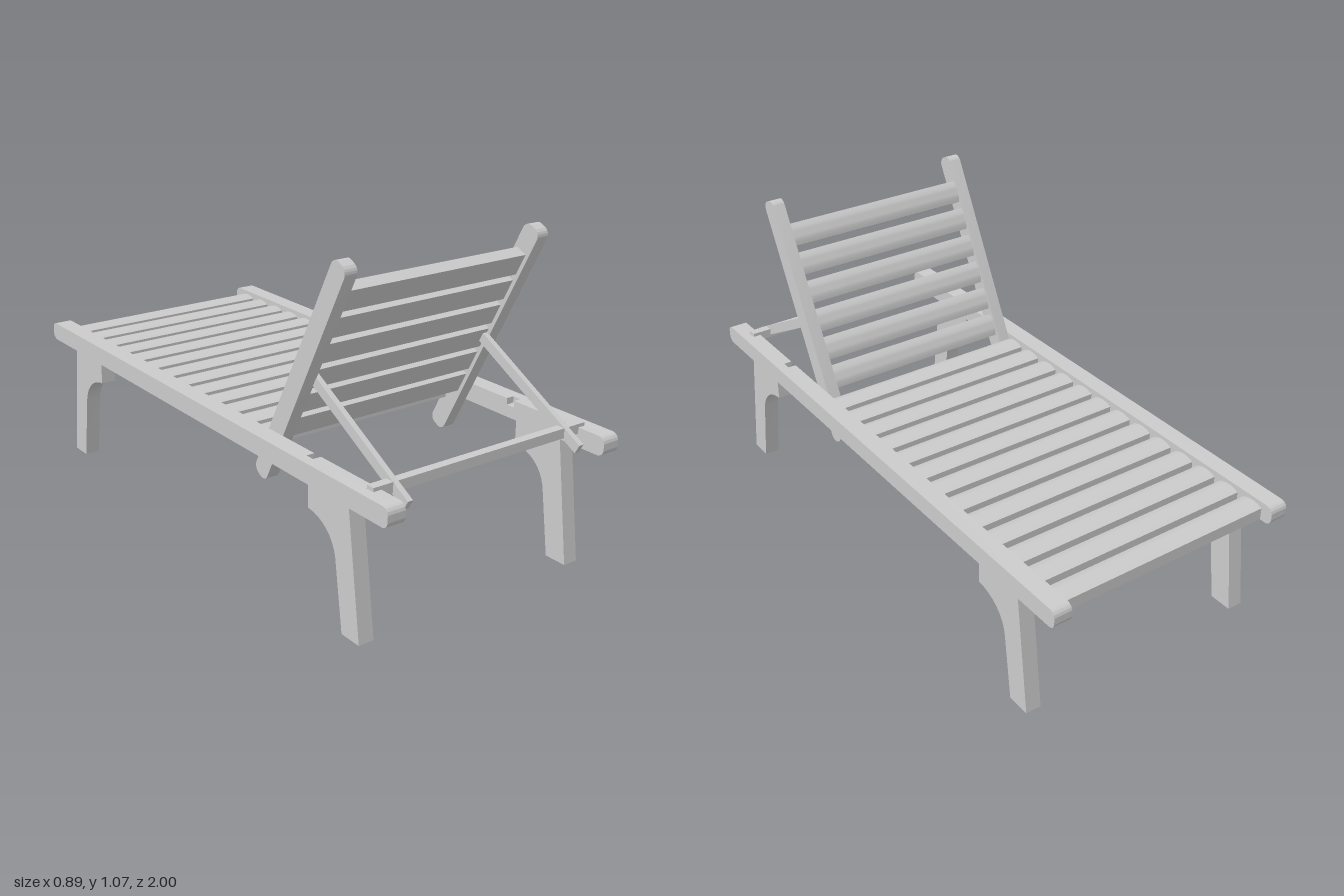
import * as THREE from 'three';
import { toCreasedNormals } from 'three/addons/utils/BufferGeometryUtils.js';

const material = new THREE.MeshStandardMaterial({ color: 0xcccccc });

// Extrudes a side profile (shape x = world z, shape y = world y) across x, centred on x = 0.
function sideExtrude(shape, width) {
  const g = new THREE.ExtrudeGeometry(shape, { depth: width, bevelEnabled: false, curveSegments: 8 });
  g.translate(0, 0, -width / 2);
  g.rotateY(-Math.PI / 2);
  return toCreasedNormals(g, 0.6);
}

function add(parent, name, geometry, x = 0, y = 0, z = 0) {
  const mesh = new THREE.Mesh(geometry, material);
  mesh.name = name;
  mesh.position.set(x, y, z);
  parent.add(mesh);
  return mesh;
}

// Bar with rounded corners; notches are cut into its top edge, listed from +z to -z.
function barShape(length, height, r, notches = [], notchWidth = 0.032, notchDepth = 0.022) {
  const a = length / 2, b = height / 2, s = new THREE.Shape();
  s.moveTo(-a + r, -b);
  s.lineTo(a - r, -b);
  s.absarc(a - r, -b + r, r, -Math.PI / 2, 0);
  s.absarc(a - r, b - r, r, 0, Math.PI / 2);
  for (const z of notches) {
    const h = notchWidth / 2;
    s.lineTo(z + h, b);
    s.lineTo(z + h, b - notchDepth);
    s.lineTo(z - h, b - notchDepth);
    s.lineTo(z - h, b);
  }
  s.absarc(-a + r, b - r, r, Math.PI / 2, Math.PI);
  s.absarc(-a + r, -b + r, r, Math.PI, Math.PI * 1.5);
  return s;
}

// Slat with a flat underside at y = 0 and a gently crowned top.
function slatGeometry(length, width = 0.078, edge = 0.039, crown = 0.009) {
  const h = width / 2, s = new THREE.Shape();
  s.moveTo(-h, 0);
  s.lineTo(h, 0);
  s.lineTo(h, edge);
  s.quadraticCurveTo(0, edge + 2 * crown, -h, edge);
  s.closePath();
  return sideExtrude(s, length);
}

// Splayed leg with a curved bracket, for the +z end.
function legShape() {
  const s = new THREE.Shape();
  s.moveTo(0.797, 0);
  s.lineTo(0.877, 0);
  s.lineTo(0.823, 0.412);
  s.lineTo(0.633, 0.412);
  s.lineTo(0.633, 0.334);
  s.bezierCurveTo(0.70, 0.33, 0.752, 0.29, 0.764, 0.23);
  s.closePath();
  return s;
}

export function createModel() {
  const model = new THREE.Group();
  model.name = 'sunLounger';

  // Side rails: plain outer half and notched inner half
  const railOuter = sideExtrude(barShape(2, 0.063, 0.024), 0.034);
  const railInner = sideExtrude(barShape(2, 0.063, 0.024, [0.88, 0.605]), 0.028);
  const leg = sideExtrude(legShape(), 0.053);
  for (const side of [-1, 1]) {
    const rail = new THREE.Group();
    rail.name = side > 0 ? 'leftRail' : 'rightRail';
    add(rail, 'railOuter', railOuter, side * 0.427, 0.4425);
    add(rail, 'railInner', railInner, side * 0.396, 0.4425);
    model.add(rail);

    // Legs, the far pair turned round
    add(model, 'frontLeg', leg, side * 0.41);
    add(model, 'backLeg', leg, side * 0.41).rotation.y = Math.PI;
  }

  // Seat slats
  const seat = new THREE.Group();
  seat.name = 'seat';
  const seatSlat = slatGeometry(0.766);
  for (let i = 0; i < 13; i++) add(seat, 'seatSlat', seatSlat, 0, 0.413, -0.918 + i * 0.102);
  model.add(seat);

  // Reclined backrest: local y runs up the back, local -z is the sitting side
  const backrest = new THREE.Group();
  backrest.name = 'backrest';
  backrest.position.set(0, 0.6825, 0.5025);
  backrest.rotation.x = 0.485;
  const backRail = sideExtrude(barShape(0.066, 0.858, 0.026), 0.043);
  for (const side of [-1, 1]) add(backrest, 'backRail', backRail, side * 0.36);
  const backSlat = slatGeometry(0.68);
  backSlat.rotateX(-Math.PI / 2);
  for (let i = 0; i < 6; i++) add(backrest, 'backSlat', backSlat, 0, 0.298 - i * 0.1015, 0.0195);
  model.add(backrest);

  // Prop struts and the crossbar they rest on
  const strut = new THREE.BoxGeometry(0.018, 0.034, Math.hypot(0.435, 0.24));
  for (const side of [-1, 1]) {
    add(model, 'propStrut', strut, side * 0.331, 0.555, 0.7325).rotation.x = Math.atan2(0.24, 0.435);
  }
  add(model, 'propCrossbar', new THREE.BoxGeometry(0.816, 0.032, 0.03), 0, 0.469, 0.88);

  return model;
}
